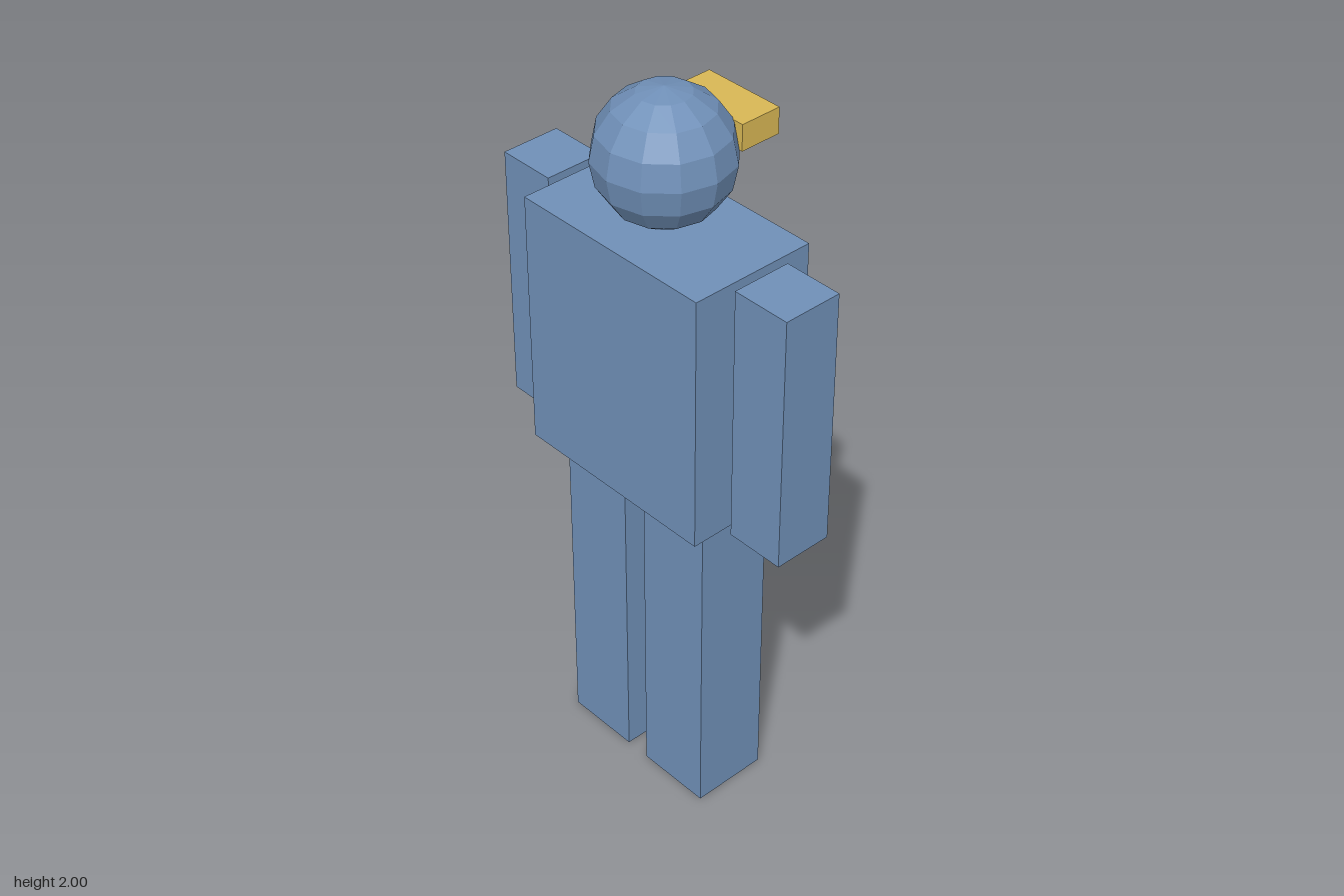
import * as THREE from 'three';

export function createModel() {
  const model = new THREE.Group();
  const blue = new THREE.MeshStandardMaterial({ color: 0x7090b8, flatShading: true });
  const gold = new THREE.MeshStandardMaterial({ color: 0xd9b855, flatShading: true });

  // Box given by its extents along x, y and z
  const block = (name, material, [x0, x1], [y0, y1], [z0, z1]) => {
    const mesh = new THREE.Mesh(new THREE.BoxGeometry(x1 - x0, y1 - y0, z1 - z0), material);
    mesh.position.set((x0 + x1) / 2, (y0 + y1) / 2, (z0 + z1) / 2);
    mesh.name = name;
    model.add(mesh);
  };

  // Torso with the plate on its chest, which points along +x
  block('torso', blue, [-0.212, 0.138], [0.945, 1.648], [-0.294, 0.294]);
  block('chestPlate', gold, [0.138, 0.198], [1.24, 1.473], [-0.176, 0.176]);

  // Paired limbs
  for (const [side, s] of [['left', -1], ['right', 1]]) {
    const span = (a, b) => (s > 0 ? [a, b] : [-b, -a]);
    block(side + 'Arm', blue, [-0.118, 0.045], [0.945, 1.648], span(0.319, 0.481));
    block(side + 'Leg', blue, [-0.142, 0.07], [0, 0.945], span(0.035, 0.247));
  }

  // Low-poly head with a visor set into the brow
  const head = new THREE.Mesh(new THREE.SphereGeometry(0.175, 12, 8), blue);
  head.position.set(-0.037, 1.825, 0);
  head.name = 'head';
  model.add(head);
  block('visor', gold, [0.094, 0.21], [1.828, 1.898], [-0.116, 0.116]);

  return model;
}
